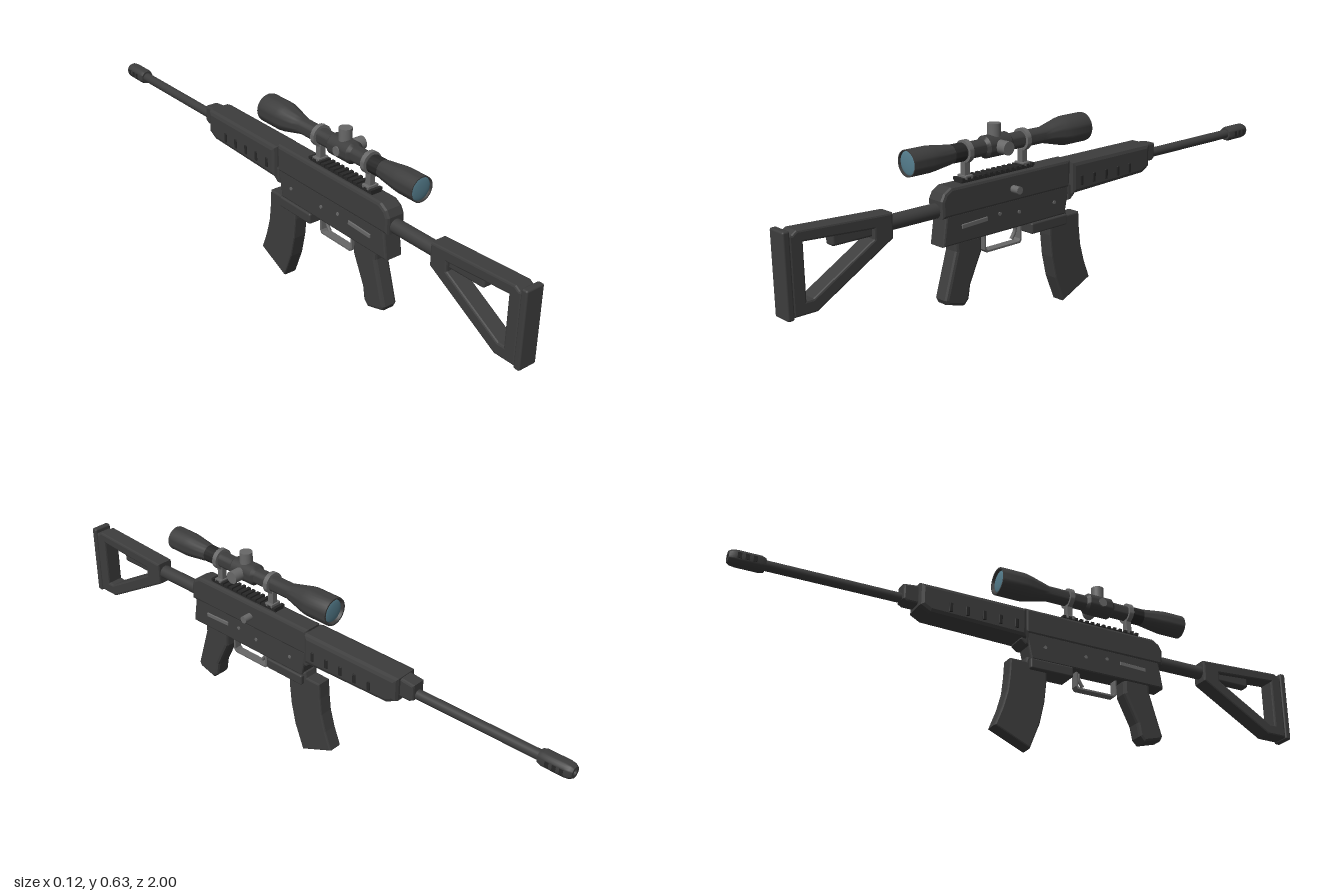
import * as THREE from 'three';
import { toCreasedNormals } from 'three/addons/utils/BufferGeometryUtils.js';
import { RoundedBoxGeometry } from 'three/addons/geometries/RoundedBoxGeometry.js';

const CX = -0.009; // centre plane of the rifle

export function createModel() {
  const group = new THREE.Group();
  const mat = (name, color) => Object.assign(new THREE.MeshStandardMaterial({ color }), { name });
  const body = mat('charcoal', 0x3d3d3d);
  const dark = mat('black', 0x272727);
  const steel = mat('grey steel', 0x686868);
  const glass = mat('lens blue', 0x567f8f);

  const add = (name, geo, m, x = 0, y = 0, z = 0) => {
    const mesh = new THREE.Mesh(geo, m);
    mesh.name = name;
    mesh.position.set(CX + x, y, z);
    group.add(mesh);
    return mesh;
  };
  const box = (name, m, w, h, d, x, y, z, r = 0.004) =>
    add(name, r ? new RoundedBoxGeometry(w, h, d, 2, r) : new THREE.BoxGeometry(w, h, d), m, x, y, z);

  // Side outline given as [z, y], extruded across x with a bevelled rim
  const trace = (path, pts) => {
    pts.forEach(([z, y], i) => (i ? path.lineTo(-z, y) : path.moveTo(-z, y)));
    path.closePath();
    return path;
  };
  const slab = (name, m, pts, width, bevel = 0.006, hole) => {
    const shape = trace(new THREE.Shape(), pts);
    if (hole) shape.holes.push(trace(new THREE.Path(), hole));
    const geo = new THREE.ExtrudeGeometry(shape, {
      depth: width - 2 * bevel, bevelEnabled: true, bevelThickness: bevel,
      bevelSize: bevel, bevelOffset: -bevel, bevelSegments: 2,
    });
    geo.translate(0, 0, bevel - width / 2).rotateY(Math.PI / 2);
    return add(name, geo, m);
  };
  // Turned part along z; profile given as [radius, z] with z increasing outside
  const turned = (name, m, y, pts) => {
    const geo = new THREE.LatheGeometry(pts.map(([r, z]) => new THREE.Vector2(r, z)), 32).rotateX(Math.PI / 2);
    return add(name, toCreasedNormals(geo, 0.6), m, 0, y);
  };
  const rod = (name, m, r, len, axis, x, y, z, sides = 24) => {
    const geo = new THREE.CylinderGeometry(r, r, len, sides);
    if (axis === 'x') geo.rotateZ(Math.PI / 2);
    if (axis === 'z') geo.rotateX(Math.PI / 2);
    return add(name, geo, m, x, y, z);
  };

  // Skeleton stock, butt pad and buffer tube
  slab('stock', body,
    [[0.98, 0.22], [0.905, 0.22], [0.645, 0.37], [0.645, 0.445], [0.955, 0.46], [0.97, 0.45], [0.98, 0.45]],
    0.06, 0.006,
    [[0.937, 0.26], [0.915, 0.26], [0.71, 0.38], [0.71, 0.41], [0.937, 0.425]]);
  box('buttPad', body, 0.066, 0.25, 0.022, 0, 0.34, 0.989, 0.006);
  rod('bufferTube', body, 0.023, 0.24, 'z', 0, 0.408, 0.57);
  box('stockLatch', body, 0.036, 0.045, 0.18, 0, 0.408, 0.75, 0.008);

  // Receiver
  slab('upperReceiver', body,
    [[0.472, 0.385], [-0.052, 0.385], [-0.052, 0.477], [0.435, 0.477], [0.46, 0.462], [0.472, 0.44]], 0.068, 0.01);
  slab('lowerReceiver', body,
    [[0.47, 0.30], [-0.03, 0.30], [-0.05, 0.395], [0.455, 0.395]], 0.064);
  box('magazineWell', body, 0.076, 0.036, 0.155, 0, 0.284, 0.043, 0.006);

  // Controls, mirrored where they appear on both sides
  for (const s of [-1, 1]) {
    const lever = box('selectorLever', steel, 0.006, 0.014, 0.1, s * 0.033, 0.353, 0.35, 0.002);
    lever.rotation.x = 0.04;
    for (const [z, y] of [[0.17, 0.35], [0.25, 0.36], [0.02, 0.35]])
      rod('receiverPin', steel, 0.006, 0.004, 'x', s * 0.033, y, z, 12);
  }
  rod('chargingHandle', steel, 0.012, 0.035, 'x', 0.047, 0.428, 0.195);

  // Pistol grip
  slab('grip', body,
    [[0.42, 0.31], [0.418, 0.275], [0.462, 0.13], [0.455, 0.115], [0.39, 0.097], [0.372, 0.115],
      [0.364, 0.16], [0.318, 0.255], [0.318, 0.31]], 0.056, 0.01);

  // Trigger and its guard
  slab('triggerGuard', steel,
    [[0.297, 0.31], [0.297, 0.25], [0.287, 0.24], [0.15, 0.24], [0.143, 0.25], [0.143, 0.31]], 0.028, 0.001,
    [[0.29, 0.304], [0.29, 0.254], [0.283, 0.247], [0.155, 0.247], [0.15, 0.254], [0.15, 0.304]]);
  const curve = new THREE.CatmullRomCurve3([[0.31, 0.16], [0.28, 0.16], [0.255, 0.175]]
    .map(([y, z]) => new THREE.Vector3(0, y, z)));
  add('trigger', new THREE.TubeGeometry(curve, 8, 0.006, 8), steel);

  // Curved magazine
  slab('magazine', body,
    [[0.03, 0.31], [0.03, 0.24], [0.022, 0.165], [0.005, 0.09], [-0.03, 0.002], [-0.152, 0.057],
      [-0.127, 0.12], [-0.11, 0.18], [-0.103, 0.24], [-0.10, 0.293], [-0.045, 0.293], [-0.04, 0.31]], 0.05, 0.005);

  // Handguard with raised ribs
  slab('handguard', body,
    [[-0.05, 0.364], [-0.385, 0.373], [-0.42, 0.392], [-0.42, 0.47], [-0.05, 0.47]], 0.094, 0.014);
  slab('handguardKeel', body, [[-0.052, 0.345], [-0.07, 0.36], [-0.07, 0.40], [-0.04, 0.40], [-0.04, 0.345]], 0.07);
  for (const s of [-1, 1])
    for (let i = 0; i < 5; i++)
      box('handguardRib', dark, 0.006, 0.032, 0.012, s * 0.047, 0.405, -0.09 - i * 0.057, 0.002);

  // Barrel, gas block and muzzle brake
  slab('gasBlock', body,
    [[-0.41, 0.402], [-0.455, 0.402], [-0.468, 0.41], [-0.468, 0.462], [-0.41, 0.468]], 0.052, 0.007);
  rod('barrel', body, 0.016, 0.46, 'z', 0, 0.422, -0.68);
  turned('muzzleBrake', body, 0.422,
    [[0.009, -0.97], [0.009, -1], [0.018, -1], [0.024, -0.99], [0.026, -0.975], [0.026, -0.905], [0.022, -0.892], [0, -0.892]]);
  rod('bore', dark, 0.009, 0.004, 'z', 0, 0.422, -0.972);
  for (const s of [-1, 1])
    for (let i = 0; i < 3; i++)
      box('brakeSlot', dark, 0.004, 0.018, 0.012, s * 0.0245, 0.422, -0.925 - i * 0.023, 0);

  // Toothed rail
  box('rail', dark, 0.036, 0.012, 0.29, 0, 0.48, 0.24, 0);
  for (let i = 0; i < 14; i++)
    box('railTooth', dark, 0.044, 0.009, 0.011, 0, 0.487, 0.1 + i * 0.0215, 0);

  // Scope tube, recessed at both ends
  const Y = 0.567;
  turned('scopeTube', body, Y, [
    [0.037, -0.128], [0.041, -0.138], [0.046, -0.138], [0.047, -0.133], [0.047, -0.05], [0.044, -0.03], [0.032, 0.02], [0.026, 0.045],
    [0.026, 0.185], [0.035, 0.195], [0.035, 0.28], [0.026, 0.29], [0.026, 0.40], [0.03, 0.42],
    [0.038, 0.48], [0.04, 0.50], [0.04, 0.57], [0.037, 0.57], [0.036, 0.563]]);
  turned('zoomRing', dark, Y, [[0.025, 0.365], [0.0285, 0.368], [0.0285, 0.41], [0.025, 0.412]]);
  // Slightly domed lenses
  for (const [name, z, s] of [['rearLens', 0.562, 1], ['frontLens', -0.129, -1]]) {
    const dome = new THREE.SphereGeometry(0.037, 32, 8, 0, Math.PI * 2, 0, Math.PI / 2);
    dome.scale(1, 0.15, 1).rotateX(s * Math.PI / 2);
    add(name, dome, glass, 0, Y, z);
  }
  // Adjustment turrets
  rod('elevationTurret', steel, 0.021, 0.05, 'y', 0, 0.61, 0.24);
  rod('windageTurret', steel, 0.021, 0.05, 'x', 0.042, Y, 0.24);
  rod('turretCap', steel, 0.015, 0.006, 'x', -0.034, Y, 0.24);
  // Mounting rings
  for (const z of [0.355, 0.125]) {
    turned('scopeRing', steel, Y, [[0.025, z - 0.008], [0.035, z - 0.008], [0.035, z + 0.008], [0.025, z + 0.008]]);
    box('scopeMount', steel, 0.021, 0.055, 0.022, 0, 0.513, z, 0.002);
    box('mountFoot', steel, 0.04, 0.012, 0.03, 0, 0.491, z, 0.002);
  }
  return group;
}
